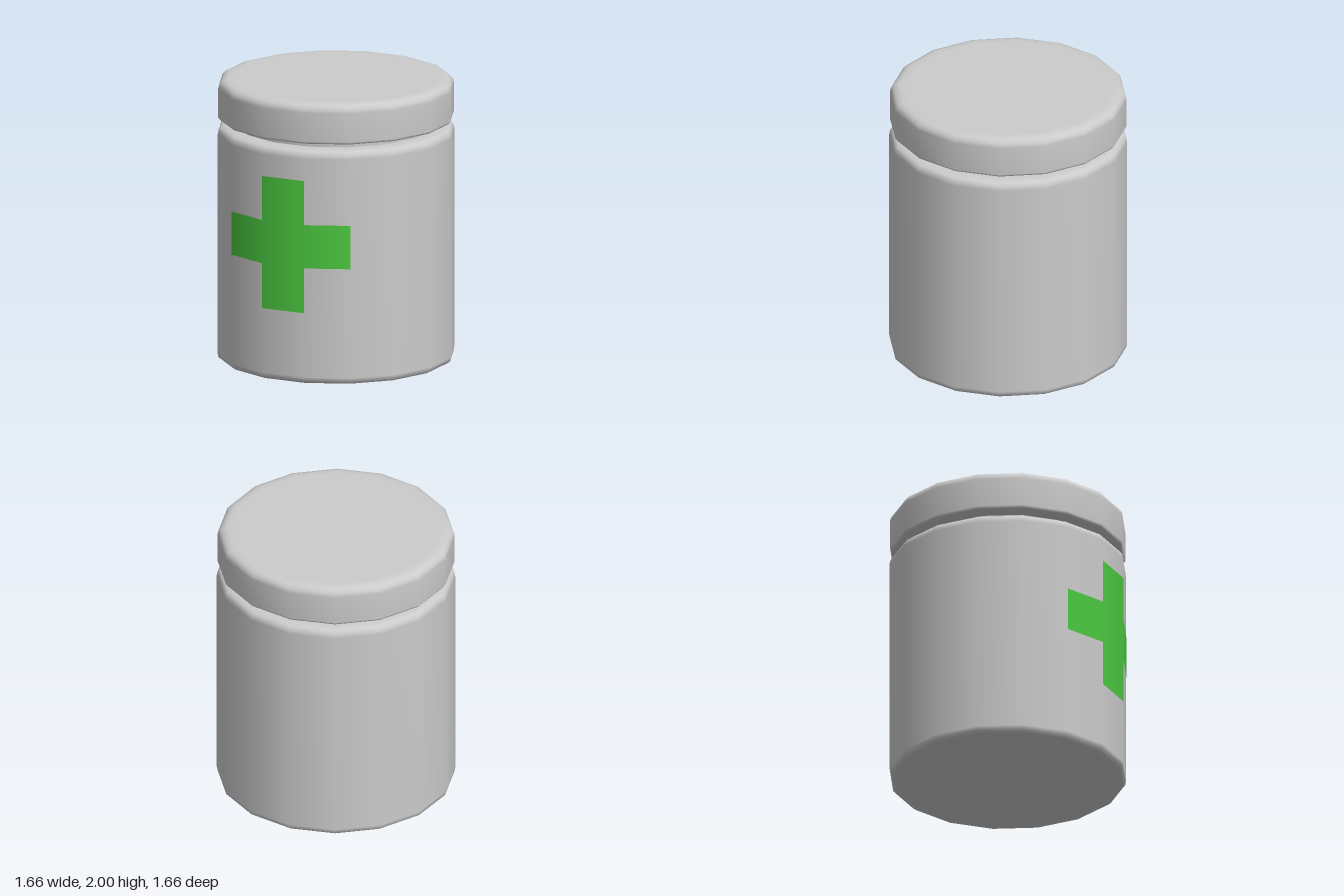
import * as THREE from 'three';

const SIDES = 16;
const STEP = (Math.PI * 2) / SIDES;

export function createModel() {
  const jar = new THREE.Group();
  jar.name = 'jar';
  const grey = new THREE.MeshStandardMaterial({ color: 0xcccccc });
  const green = new THREE.MeshStandardMaterial({ color: 0x4bc83f });

  // Turned part from a [radius, height] profile, listed bottom to top
  const turned = (name, profile) => {
    const points = profile.map(([r, y]) => new THREE.Vector2(r, y));
    const mesh = new THREE.Mesh(new THREE.LatheGeometry(points, SIDES), grey);
    mesh.name = name;
    jar.add(mesh);
  };

  // Container with softened base and shoulder
  turned('body', [
    [0, 0], [0.76, 0], [0.8, 0.004], [0.822, 0.02], [0.828, 0.05],
    [0.828, 1.61], [0.822, 1.64], [0.805, 1.66], [0.77, 1.67], [0.72, 1.67], [0, 1.67],
  ]);

  // Screw lid with a rounded top rim
  turned('lid', [
    [0, 1.715], [0.78, 1.715], [0.812, 1.718], [0.824, 1.735],
    [0.824, 1.94], [0.818, 1.965], [0.8, 1.988], [0.765, 2], [0.72, 2], [0, 2],
  ]);

  // Recessed neck between container and lid
  const neck = new THREE.Mesh(new THREE.CylinderGeometry(0.7, 0.7, 0.07, SIDES, 1, true), grey);
  neck.name = 'neck';
  neck.position.y = 1.693;
  jar.add(neck);

  // Green cross wrapped over three side panels: short arms beside a tall bar
  const cross = new THREE.Group();
  cross.name = 'cross';
  [[-1, 0.83, 1.14], [0, 0.51, 1.455], [1, 0.83, 1.14]].forEach(([panel, bottom, top]) => {
    const geometry = new THREE.CylinderGeometry(
      0.831, 0.831, top - bottom, 1, 1, true, Math.PI * 1.5 + panel * STEP, STEP);
    const mesh = new THREE.Mesh(geometry, green);
    mesh.name = panel === 0 ? 'crossBar' : 'crossArm';
    mesh.position.y = (bottom + top) / 2;
    cross.add(mesh);
  });
  jar.add(cross);

  return jar;
}
